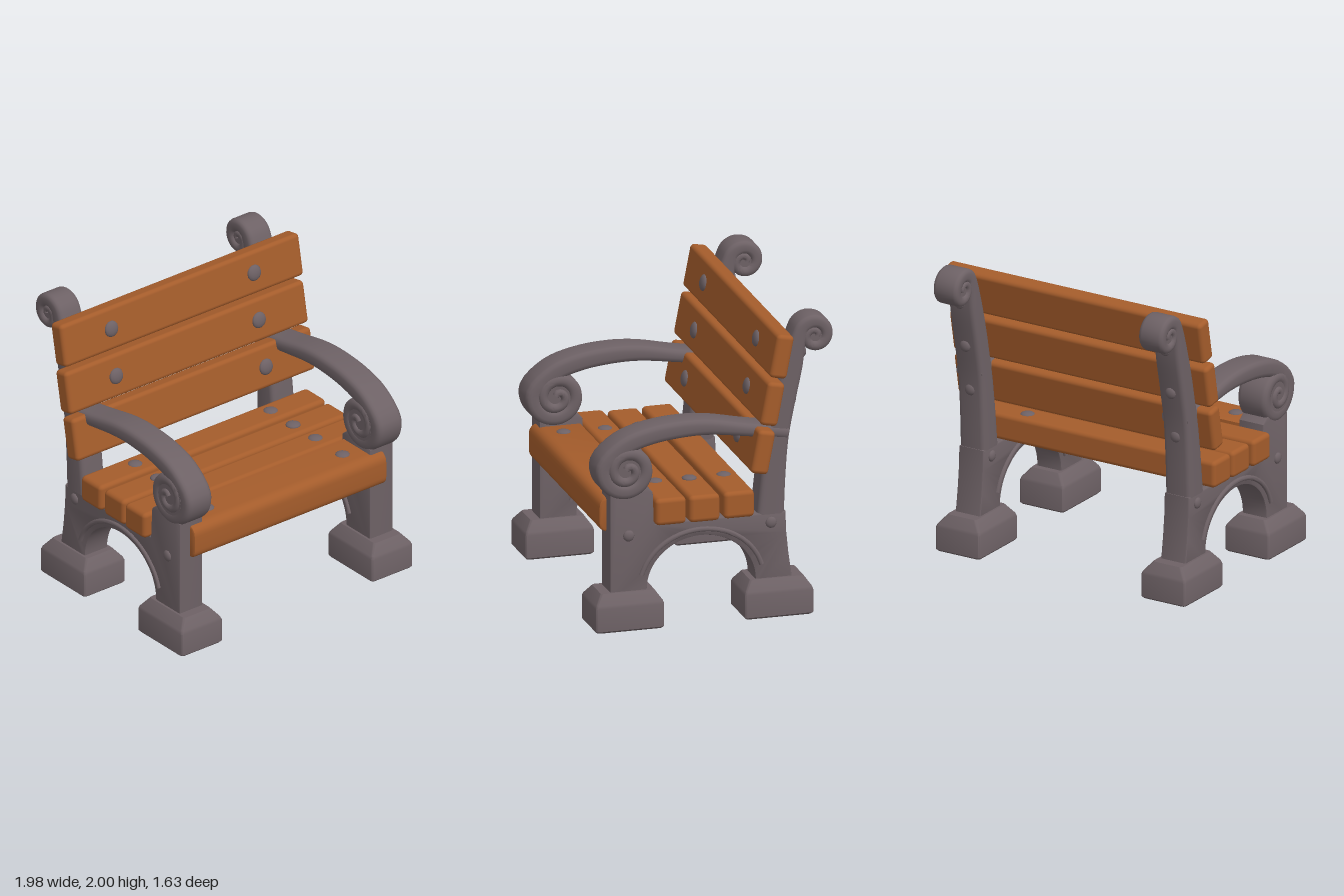
import * as THREE from 'three';
import { toCreasedNormals } from 'three/addons/utils/BufferGeometryUtils.js';
import { RoundedBoxGeometry } from 'three/addons/geometries/RoundedBoxGeometry.js';

const wood = new THREE.MeshStandardMaterial({ color: 0xa45c2b });
wood.name = 'wood';
const iron = new THREE.MeshStandardMaterial({ color: 0x6d6165 });
iron.name = 'iron';

function add(parent, name, geometry, material, x = 0, y = 0, z = 0) {
  const mesh = new THREE.Mesh(geometry, material);
  mesh.name = name;
  mesh.position.set(x, y, z);
  parent.add(mesh);
  return mesh;
}

// Rounded rectangle ring around c, counter-clockwise about u x v
function ring(c, u, v, hu, hv, r, steps = 3) {
  const points = [];
  [[1, 1], [-1, 1], [-1, -1], [1, -1]].forEach(([su, sv], k) => {
    for (let i = 0; i <= steps; i++) {
      const a = (k + i / steps) * Math.PI / 2;
      points.push(c.clone()
        .addScaledVector(u, su * (hu - r) + r * Math.cos(a))
        .addScaledVector(v, sv * (hv - r) + r * Math.sin(a)));
    }
  });
  return points;
}

// Closed skin over a row of rings, with flat end caps
function loft(rings, crease = 0.7) {
  const n = rings[0].length, pos = [], index = [];
  rings.flat().forEach(p => pos.push(p.x, p.y, p.z));
  for (let i = 0; i < rings.length - 1; i++) {
    for (let j = 0; j < n; j++) {
      const a = i * n + j, b = i * n + (j + 1) % n;
      index.push(a, b, b + n, a, b + n, a + n);
    }
  }
  const last = (rings.length - 1) * n;
  for (let j = 1; j < n - 1; j++) {
    index.push(0, j + 1, j, last, last + j, last + j + 1);
  }
  const g = new THREE.BufferGeometry();
  g.setAttribute('position', new THREE.Float32BufferAttribute(pos, 3));
  g.setIndex(index);
  return toCreasedNormals(g, crease);
}

// Bar swept in the side plane; each point is [thickness, y, z]
function sweep(points, w0, w1, radius, segments) {
  const curve = new THREE.CatmullRomCurve3(points.map(p => new THREE.Vector3(...p)));
  const side = new THREE.Vector3(1, 0, 0), rings = [];
  for (let i = 0; i <= segments; i++) {
    const t = i / segments, p = curve.getPoint(t), d = curve.getTangent(t).setX(0).normalize();
    const h = p.x / 2, w = THREE.MathUtils.lerp(w0, w1, t) / 2;
    rings.push(ring(p.setX(0), side.clone().cross(d), side, h, w, Math.min(radius, h * 0.9)));
  }
  return loft(rings);
}

// Inward spiral points for a sweep
function spiral(cy, cz, start, turns, r0, r1, t0, t1) {
  const count = Math.ceil(Math.abs(turns) * 10);
  return Array.from({ length: count + 1 }, (_, i) => {
    const s = i / count, a = start + turns * s * Math.PI * 2;
    const r = r0 + (r1 - r0) * s ** 1.3;
    return [t0 + (t1 - t0) * s, cy + r * Math.sin(a), cz + r * Math.cos(a)];
  });
}

// Domed bolt head
function bolt(parent, x, y, z, sx, sy, sz) {
  add(parent, 'bolt', new THREE.SphereGeometry(1, 12, 8), iron, x, y, z).scale.set(sx, sy, sz);
}

function footGeometry() {
  const u = new THREE.Vector3(0, 0, 1), v = new THREE.Vector3(1, 0, 0);
  return loft([[0, 0.22, 0.16], [0.012, 0.232, 0.17], [0.165, 0.232, 0.17], [0.185, 0.225, 0.163],
    [0.25, 0.18, 0.11]].map(([y, hz, hx]) => ring(new THREE.Vector3(0, y, 0), u, v, hz, hx, 0.02)), 0.5);
}

// Legs and seat rail with an arched opening
function frameGeometry() {
  const s = new THREE.Shape();
  s.moveTo(0.69, 0.2);
  [[0.69, 0.9], [0.65, 0.95], [0.48, 0.95], [0.42, 0.9], [0.405, 0.68], [-0.475, 0.68],
    [-0.48, 0.55], [-0.495, 0.4], [-0.525, 0.2], [-0.29, 0.2]].forEach(p => s.lineTo(...p));
  s.absellipse(0.085, 0.25, 0.375, 0.34, Math.PI, 0, true);
  s.lineTo(0.46, 0.2);
  const g = new THREE.ExtrudeGeometry(s, {
    depth: 0.166, bevelSize: 0.01, bevelThickness: 0.012, bevelSegments: 2, curveSegments: 18,
  });
  g.translate(0, 0, -0.083).rotateY(-Math.PI / 2);
  return toCreasedNormals(g, 0.6);
}

function sideFrame() {
  const side = new THREE.Group();
  side.name = 'sideFrame';
  add(side, 'legFrame', frameGeometry(), iron);
  add(side, 'frontFoot', footGeometry(), iron, 0, 0, 0.585);
  add(side, 'backFoot', footGeometry(), iron, 0, 0, -0.42);

  // Arch moulding shows on both faces of the frame
  const arch = Array.from({ length: 17 }, (_, i) => {
    const a = 0.27 + (Math.PI - 0.54) * i / 16;
    return [0.032, 0.25 + 0.375 * Math.sin(a), 0.085 + 0.42 * Math.cos(a)];
  });
  add(side, 'archMoulding', sweep(arch, 0.225, 0.225, 0.014, 28), iron);

  // Back post curling into a scroll at the top
  add(side, 'backPost', sweep([
    [0.185, 0.64, -0.385], [0.165, 0.95, -0.408], [0.15, 1.2, -0.437], [0.145, 1.45, -0.487],
    [0.135, 1.68, -0.54],
    ...spiral(1.86, -0.685, 0.1, 1.5, 0.103, 0.018, 0.1, 0.035)], 0.19, 0.18, 0.03, 80), iron);

  // Armrest curling into a scroll at the front
  add(side, 'armrest', sweep([
    [0.085, 1.22, -0.5], [0.09, 1.265, -0.22], [0.105, 1.305, 0.02], [0.115, 1.31, 0.2],
    [0.12, 1.285, 0.42], [0.12, 1.225, 0.6],
    ...spiral(1.065, 0.585, 0.25, -1.9, 0.155, 0.018, 0.11, 0.04)], 0.195, 0.25, 0.035, 100), iron, 0.005);

  // Recessed cores behind the coils
  const core = (name, r, w, y, z) =>
    add(side, name, new THREE.CylinderGeometry(r, r, w, 24).rotateZ(Math.PI / 2), iron, 0, y, z);
  core('armScrollCore', 0.13, 0.2, 1.065, 0.585);
  core('postScrollCore', 0.09, 0.15, 1.86, -0.685);

  // Bolts on the frame faces and behind the post
  for (const x of [-0.095, 0.095]) {
    for (const z of [0.575, -0.385]) bolt(side, x, 0.625, z, 0.02, 0.038, 0.038);
  }
  for (const [y, z] of [[1.74, -0.625], [1.42, -0.555], [1.1, -0.495]]) {
    bolt(side, 0, y, z, 0.04, 0.04, 0.022);
  }
  return side;
}

export function createModel() {
  const bench = new THREE.Group();
  bench.name = 'bench';

  for (const s of [-1, 1]) {
    const side = sideFrame();
    side.position.x = s * 0.787;
    bench.add(side);
  }

  // Leaning back slats
  [[0, 1.135, -0.305], [-0.006, 1.455, -0.37], [0.002, 1.775, -0.43]].forEach(([x, y, z]) => {
    const slat = new THREE.Group();
    slat.name = 'backSlat';
    slat.position.set(x, y, z);
    slat.rotation.x = -0.19;
    add(slat, 'backBoard', new RoundedBoxGeometry(1.975, 0.293, 0.117, 2, 0.028), wood);
    for (const bx of [-0.59, 0.59]) bolt(slat, bx, 0, 0.058, 0.055, 0.055, 0.025);
    bench.add(slat);
  });

  // Seat slats
  [[0.305, 0.78, 1.885], [0.075, 0.775, 1.86], [-0.157, 0.78, 1.87]].forEach(([z, y, length]) => {
    add(bench, 'seatSlat', new RoundedBoxGeometry(length, 0.182, 0.208, 2, 0.03), wood, 0, y, z);
    for (const x of [-0.56, 0.56]) bolt(bench, x, 0.866, z - 0.005, 0.05, 0.02, 0.05);
  });

  // Front seat board with a rounded, drooping lip
  const lip = new THREE.Shape();
  lip.moveTo(0.44, 0.7);
  lip.lineTo(0.44, 0.86);
  lip.lineTo(0.67, 0.86);
  lip.quadraticCurveTo(0.735, 0.86, 0.735, 0.8);
  lip.lineTo(0.735, 0.7);
  lip.quadraticCurveTo(0.735, 0.65, 0.69, 0.65);
  lip.quadraticCurveTo(0.66, 0.65, 0.63, 0.7);
  const board = new THREE.ExtrudeGeometry(lip, {
    depth: 1.56, bevelSize: 0.012, bevelThickness: 0.016, bevelSegments: 2, curveSegments: 6,
  });
  board.translate(0, 0, -0.78).rotateY(-Math.PI / 2);
  add(bench, 'frontSeatBoard', toCreasedNormals(board, 0.6), wood);
  for (const x of [-0.56, 0.56]) bolt(bench, x, 0.868, 0.58, 0.05, 0.02, 0.05);

  return bench;
}
